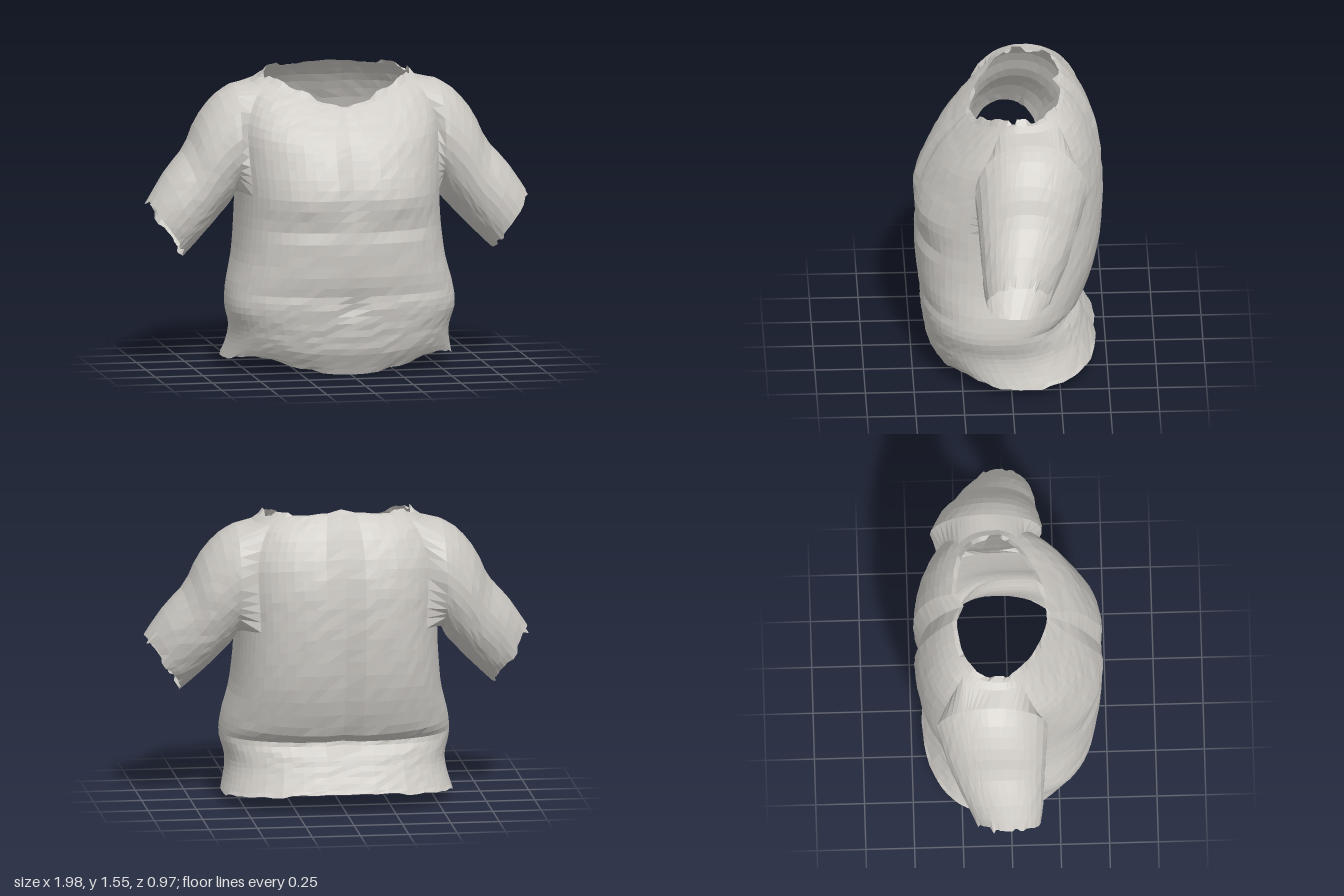
import * as THREE from 'three';

const shirtGrey = new THREE.MeshStandardMaterial({ color: 0xcdcac5, flatShading: true, side: THREE.DoubleSide });
shirtGrey.name = 'shirt grey';

// repeatable small noise for ragged edges and wrinkles
const noise = (a, b) => {
  const v = Math.sin(a * 12.9898 + b * 78.233) * 43758.5453;
  return (v - Math.floor(v)) * 2 - 1;
};
const bump = (v, centre, width) => Math.exp(-(((v - centre) / width) ** 2));

// smooth interpolation through a table of cross-section rows
function sampleRows(rows, t) {
  const f = t * (rows.length - 1);
  const i = Math.min(Math.floor(f), rows.length - 2);
  const u = f - i;
  const at = (k) => rows[Math.max(0, Math.min(rows.length - 1, k))];
  return rows[0].map((_, c) => {
    const p0 = at(i - 1)[c], p1 = at(i)[c], p2 = at(i + 1)[c], p3 = at(i + 2)[c];
    return p1 + 0.5 * u * (p2 - p0 + u * (2 * p0 - 5 * p1 + 4 * p2 - p3 + u * (3 * (p1 - p2) + p3 - p0)));
  });
}

// open tube of quads from a point rule, leaving out the quads chosen by skip
function loft(name, rings, segs, point, skip = () => false) {
  const pos = [], idx = [];
  for (let r = 0; r <= rings; r++) {
    for (let s = 0; s < segs; s++) pos.push(...point(r, s));
  }
  for (let r = 0; r < rings; r++) {
    for (let s = 0; s < segs; s++) {
      if (skip(r, s)) continue;
      const a = r * segs + s, b = r * segs + ((s + 1) % segs);
      const c = a + segs, d = b + segs;
      idx.push(a, b, d, a, d, c);
    }
  }
  const g = new THREE.BufferGeometry();
  g.setAttribute('position', new THREE.Float32BufferAttribute(pos, 3));
  g.setIndex(idx);
  g.computeVertexNormals();
  const mesh = new THREE.Mesh(g, shirtGrey);
  mesh.name = name;
  return mesh;
}

// half width, front z, back z, front y, side y, back y, front squareness, back squareness
const torsoRows = [
  [0.595, 0.365, -0.45, 0.005, 0.05, 0.09, 2.3, 2.5],
  [0.57, 0.42, -0.41, 0.11, 0.14, 0.18, 2.4, 2.5],
  [0.565, 0.44, -0.375, 0.21, 0.22, 0.26, 2.5, 2.5],
  [0.59, 0.455, -0.345, 0.32, 0.32, 0.33, 2.5, 2.5],
  [0.58, 0.465, -0.38, 0.43, 0.43, 0.4, 2.5, 2.6],
  [0.54, 0.48, -0.45, 0.6, 0.59, 0.61, 2.5, 2.7],
  [0.52, 0.48, -0.48, 0.78, 0.78, 0.83, 2.5, 2.8],
  [0.515, 0.475, -0.485, 0.95, 0.95, 1.0, 2.5, 2.8],
  [0.525, 0.42, -0.47, 1.1, 1.1, 1.16, 2.5, 2.8],
  [0.525, 0.35, -0.43, 1.21, 1.28, 1.31, 2.4, 2.8],
  [0.47, 0.27, -0.355, 1.3, 1.435, 1.45, 2, 2.8],
  [0.38, 0.2, -0.265, 1.37, 1.51, 1.545, 1.5, 2.8],
];
const RINGS = 34, SEGS = 64;
// rows and columns of the torso grid that frame each armhole
const hole = { r0: 21, r1: 32, s0: 12, s1: 23 };

function torsoPoint(r, s) {
  const t = r / RINGS, a = (s / SEGS) * Math.PI * 2;
  const [hw, zF, zB, yF, yS, yB, nF, nB] = sampleRows(torsoRows, t);
  const c = Math.cos(a), front = c > 0;
  const round = (v) => Math.sign(v) * Math.abs(v) ** (2 / (front ? nF : nB));
  const x = hw * round(Math.sin(a));
  let z = (zF + zB) / 2 + ((zF - zB) / 2) * round(c);
  let y = yS + ((front ? yF : yB) - yS) * c * c;
  const sym = Math.min(s, SEGS - s);
  if (front) {
    // arched hem, chest folds, navel and front groove
    y += 0.05 * Math.sin(2 * a) ** 2 * (1 - t) ** 9;
    const chest = bump(Math.abs(x), 0.25, 0.2);
    z += chest * (0.012 * bump(y, 0.9, 0.09) - 0.018 * bump(y, 0.77, 0.035));
    z -= 0.01 * c * bump(y, 0.42, 0.04);
    if (sym === 0) z -= 0.022 * bump(y, 1.05, 0.22) + 0.03 * bump(y, 0.35, 0.05);
  } else {
    // fold above the hem and spine groove
    z -= 0.03 * c * bump(y, 0.34, 0.03);
    if (sym === SEGS / 2) z += y > 0.3 ? 0.035 : 0.012;
  }
  // ragged neckline and hem, slight cloth wrinkles
  if (r === RINGS) y += 0.02 * noise(Math.floor(sym / 2), 3);
  if (r === 0) y += 0.008 * noise(sym, 5);
  z += 0.0025 * noise(sym, r);
  return [x, y, z];
}

function makeTorso() {
  return loft('torso', RINGS, SEGS, torsoPoint, (r, s) => {
    const sym = Math.min(s, SEGS - 1 - s);
    return r >= hole.r0 && r < hole.r1 && sym >= hole.s0 && sym < hole.s1;
  });
}

// armhole edge on the left side: forward along the top, down the front, back and up
function armholeLoop() {
  const { r0, r1, s0, s1 } = hole, loop = [];
  for (let s = s1; s > s0; s--) loop.push(torsoPoint(r1, s));
  for (let r = r1; r > r0; r--) loop.push(torsoPoint(r, s0));
  for (let s = s0; s < s1; s++) loop.push(torsoPoint(r0, s));
  for (let r = r0; r < r1; r++) loop.push(torsoPoint(r, s1));
  return loop;
}

// upper x, y, lower x, y, front z, back z
const sleeveRows = [
  [0.53, 1.455, 0.535, 0.89, 0.19, -0.385],
  [0.62, 1.4, 0.56, 0.84, 0.185, -0.36],
  [0.715, 1.285, 0.61, 0.785, 0.175, -0.33],
  [0.785, 1.14, 0.665, 0.725, 0.165, -0.29],
  [0.89, 1.02, 0.735, 0.655, 0.16, -0.24],
  [0.99, 0.87, 0.8, 0.59, 0.145, -0.18],
];

function makeSleeve(side, name) {
  const loop = armholeLoop(), segs = loop.length, rings = 12;
  const box = new THREE.Box3().setFromPoints(loop.map((p) => new THREE.Vector3(...p)));
  const mid = box.getCenter(new THREE.Vector3()), size = box.getSize(new THREE.Vector3());
  return loft(name, rings, segs, (r, s) => {
    const k = side > 0 ? s : segs - 1 - s;
    const [hx, hy, hz] = loop[k];
    if (r === 0) return [hx * side, hy, hz];
    const a = Math.atan2((hz - mid.z) / size.z, (hy - mid.y) / size.y);
    const [ux, uy, lx, ly, zF, zB] = sampleRows(sleeveRows, (r - 1) / (rings - 1));
    const c = Math.cos(a), ragged = r === rings ? 0.012 * noise(Math.floor(k / 2), 9) : 0;
    const x = (ux + lx) / 2 + ((ux - lx) / 2) * c + ragged;
    const y = (uy + ly) / 2 + ((uy - ly) / 2) * c - ragged * 0.8;
    const z = (zF + zB) / 2 + ((zF - zB) / 2) * Math.sin(a) + 0.003 * noise(k, r);
    return [Math.min(1, x) * side, y, z];
  });
}

export function createModel() {
  const group = new THREE.Group();
  group.name = 'shirt';
  group.add(makeTorso(), makeSleeve(1, 'leftSleeve'), makeSleeve(-1, 'rightSleeve'));
  return group;
}
